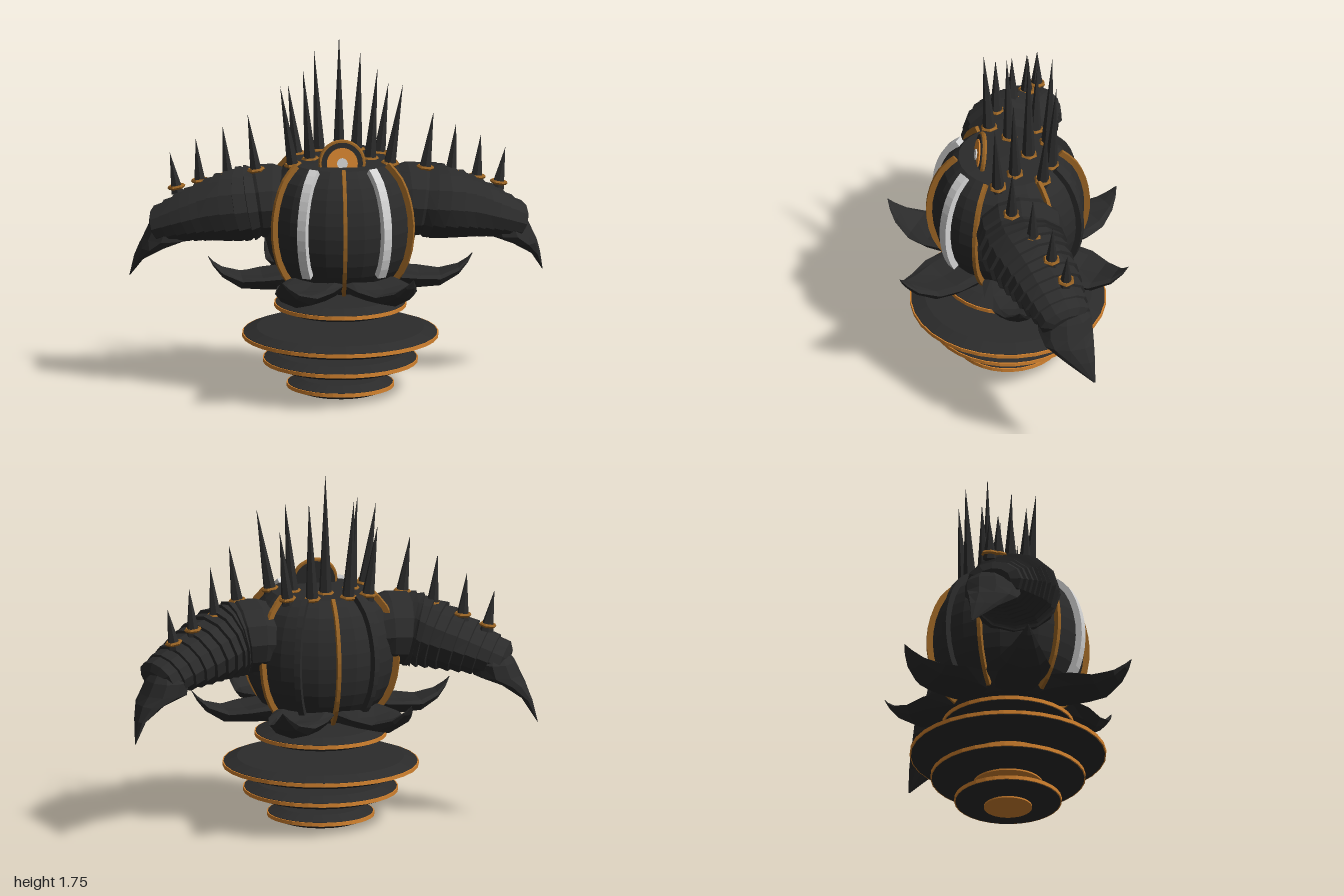
import * as THREE from 'three';

const mat = (name, color, flat = true) => {
  const m = new THREE.MeshStandardMaterial({ color, flatShading: flat });
  m.name = name;
  return m;
};
const V = (x, y, z) => new THREE.Vector3(x, y, z);

// Skin over elliptical rings; each station is [centre, u, v], with u x v pointing along the path
function loft(stations, n, offset = 0) {
  const pos = [], idx = [];
  for (const [c, u, v] of stations) {
    for (let j = 0; j < n; j++) {
      const a = offset + (j / n) * Math.PI * 2;
      const p = c.clone().addScaledVector(u, Math.cos(a)).addScaledVector(v, Math.sin(a));
      pos.push(p.x, p.y, p.z);
    }
  }
  const last = stations.length - 1;
  for (let i = 0; i < last; i++) {
    for (let j = 0; j < n; j++) {
      const k = (j + 1) % n, a = i * n + j, b = i * n + k;
      idx.push(a, b, b + n, a, b + n, a + n);
    }
  }
  for (let j = 1; j < n - 1; j++) {
    idx.push(0, j + 1, j, last * n, last * n + j, last * n + j + 1);
  }
  const g = new THREE.BufferGeometry();
  g.setAttribute('position', new THREE.Float32BufferAttribute(pos, 3));
  g.setIndex(idx);
  g.computeVertexNormals();
  return g;
}

export function createModel() {
  const model = new THREE.Group();
  const dark = mat('charcoal', 0x2b2b2b);
  const gold = mat('bronze', 0x9a6424);
  const orange = mat('orange', 0xd4832f);
  const white = mat('pale grey', 0xd2d2d2);

  const add = (parent, name, geometry, material) => {
    const m = new THREE.Mesh(geometry, material);
    m.name = name;
    parent.add(m);
    return m;
  };

  // Round body with a flattened top
  const profile = new THREE.SplineCurve([
    [0.2, 0.53], [0.28, 0.59], [0.345, 0.7], [0.37, 0.84],
    [0.355, 0.97], [0.31, 1.08], [0.24, 1.15],
  ].map(([r, y]) => new THREE.Vector2(r, y)));
  const outline = [new THREE.Vector2(0, 0.52), ...profile.getPoints(12), new THREE.Vector2(0, 1.16)];
  add(model, 'body', new THREE.LatheGeometry(outline, 24), dark);

  // Ribs that follow the body outline
  function rib(name, degrees, t0, t1, width, depth, material) {
    const stations = [];
    for (let i = 0; i <= 12; i++) {
      const t = t0 + (t1 - t0) * (i / 12);
      const p = profile.getPoint(t), d = profile.getTangent(t);
      const out = V(0, -d.x, d.y);
      stations.push([V(0, p.y, p.x).addScaledVector(out, 0.006),
        V(-width * 0.707, 0, 0), out.multiplyScalar(depth * 1.414)]);
    }
    add(model, name, loft(stations, 4, Math.PI / 4), material).rotation.y = THREE.MathUtils.degToRad(degrees);
  }
  for (let a = 0; a < 360; a += 60) rib('bronzeRib', a, 0.1, 0.98, 0.018, 0.022, gold);
  for (const s of [-1, 1]) {
    rib('paleRib', s * 32, 0.26, 0.96, 0.046, 0.022, white);
    rib('darkRib', s * 150, 0.1, 0.98, 0.03, 0.022, dark);
  }

  // Eye on the front of the crown
  const eye = new THREE.Group();
  eye.name = 'eye';
  eye.position.set(0, 1.168, 0.132);
  eye.rotation.x = -0.16;
  model.add(eye);
  const disc = (name, r, depth, z, m) => {
    const d = add(eye, name, new THREE.CylinderGeometry(r, r, depth, 28), m);
    d.rotation.x = Math.PI / 2;
    d.position.z = z;
  };
  disc('eyeBacking', 0.1, 0.03, 0, dark);
  add(eye, 'eyeRim', new THREE.TorusGeometry(0.103, 0.012, 6, 28), gold);
  disc('iris', 0.075, 0.008, 0.018, orange);
  disc('pupil', 0.026, 0.008, 0.025, white);

  // Six upturned petals below the body
  const petal = [
    [0.12, 0.565, 0.1, 0.045], [0.26, 0.56, 0.15, 0.05], [0.38, 0.55, 0.15, 0.036],
    [0.48, 0.555, 0.115, 0.034], [0.57, 0.6, 0.065, 0.023], [0.615, 0.645, 0.03, 0.012], [0.64, 0.682, 0.002, 0.002],
  ].map(([r, y, w, h]) => [V(r, y, 0), V(0, 0, -w), V(0, h, 0)]);
  const petalGeometry = loft(petal, 8);
  // Lift the side edges to cup the petal
  const pp = petalGeometry.attributes.position;
  for (let i = 0; i < pp.count; i++) pp.setY(i, pp.getY(i) + 1.8 * pp.getZ(i) ** 2);
  petalGeometry.computeVertexNormals();
  for (let i = 0; i < 6; i++) add(model, 'petal', petalGeometry, dark).rotation.y = (i * Math.PI) / 3;

  // Floating rings with glowing rims and undersides
  for (const [y, r] of [[0.44, 0.32], [0.29, 0.475], [0.165, 0.375], [0.042, 0.26]]) {
    const ring = new THREE.Group();
    ring.name = 'floatingDisc';
    ring.position.y = y;
    model.add(ring);
    const pts = [[0, -0.034], [r - 0.07, -0.034], [r - 0.006, -0.011], [r - 0.006, 0.011], [r - 0.07, 0.034], [0, 0.034]];
    add(ring, 'discBody', new THREE.LatheGeometry(pts.map((p) => new THREE.Vector2(...p)), 32), dark);
    add(ring, 'discRim', new THREE.CylinderGeometry(r, r, 0.018, 32), orange);
    add(ring, 'discUnderside', new THREE.CylinderGeometry(r * 0.45, r * 0.45, 0.008, 32), orange).position.y = -0.038;
  }

  // Spike standing in a hexagonal collar
  function spike(parent, base, tip) {
    const g = new THREE.Group();
    g.name = 'spike';
    const dir = tip.clone().sub(base), len = dir.length();
    g.position.copy(base);
    g.quaternion.setFromUnitVectors(V(0, 1, 0), dir.normalize());
    parent.add(g);
    add(g, 'spikeCone', new THREE.ConeGeometry(0.034, len + 0.03, 6), dark).position.y = len / 2 - 0.015;
    const collar = add(g, 'spikeCollar', new THREE.TorusGeometry(0.034, 0.01, 5, 6), gold);
    collar.rotation.set(Math.PI / 2, 0, 0);
  }
  spike(model, V(0, 1.155, -0.1), V(0, 1.75, -0.1));

  // Arm path and its half sizes (x across, y up)
  const path = new THREE.CatmullRomCurve3([
    V(0.2, 0.93, -0.02), V(0.33, 0.95, -0.03), V(0.46, 0.935, -0.035), V(0.66, 0.875, -0.12), V(0.88, 0.79, -0.21)]);
  const sizes = new THREE.CatmullRomCurve3([
    V(0.17, 0.13, 0), V(0.215, 0.18, 0), V(0.21, 0.18, 0), V(0.18, 0.14, 0), V(0.125, 0.085, 0)]);
  const armStation = (t, scale) => {
    const d = path.getTangent(t), s = sizes.getPoint(t);
    const up = V(0, 1, 0).addScaledVector(d, -d.y).normalize();
    const across = up.clone().cross(d);
    return [path.getPoint(t), across.multiplyScalar(s.x * scale), up.multiplyScalar(s.y * scale)];
  };
  const armRings = [0, 0.12, 0.25, 0.38].map((t) => armStation(t, 1));
  const plates = 10;
  for (let i = 0; i < plates; i++) {
    const t0 = 0.4 + (0.58 * i) / plates, t1 = 0.4 + (0.58 * (i + 1)) / plates;
    armRings.push(armStation(t0, 0.95), armStation(t1 - 0.004, 1.04));
  }
  armRings.push(armStation(1, 0.7));
  const armGeometry = loft(armRings, 12);

  // Claw sections: y, x range, z range
  const clawGeometry = loft([
    [0.86, 0.76, 0.87, -0.28, -0.14], [0.8, 0.7, 0.915, -0.335, -0.07], [0.735, 0.71, 0.945, -0.34, -0.065],
    [0.69, 0.83, 0.965, -0.34, -0.09], [0.62, 0.935, 0.983, -0.338, -0.19], [0.515, 0.997, 1.0, -0.333, -0.325],
  ].map(([y, x0, x1, z0, z1]) => [
    V((x0 + x1) / 2, y, (z0 + z1) / 2), V((x1 - x0) / 2, 0, 0), V(0, 0, (z1 - z0) / 2)]), 10);

  // Base and tip of each spike on one half
  const spikes = [
    [0.09, 1.155, -0.2, 0.112, 1.64, -0.225], [0.145, 1.155, -0.02, 0.18, 1.6, -0.01],
    [0.2, 1.15, -0.15, 0.243, 1.49, -0.165], [0.235, 1.15, 0.07, 0.297, 1.545, 0.092],
    [0.41, 1.115, 0.02, 0.45, 1.39, 0.02], [0.54, 1.07, -0.07, 0.565, 1.31, -0.07],
    [0.67, 1.025, -0.15, 0.69, 1.23, -0.155], [0.78, 0.98, -0.21, 0.812, 1.15, -0.215],
  ];
  for (const s of [1, -1]) {
    const half = new THREE.Group();
    half.name = s > 0 ? 'leftSide' : 'rightSide';
    half.scale.x = s;
    model.add(half);
    add(half, 'armouredArm', armGeometry, dark);
    add(half, 'claw', clawGeometry, dark);
    for (const p of spikes) spike(half, V(p[0], p[1], p[2]), V(p[3], p[4], p[5]));
  }
  return model;
}
